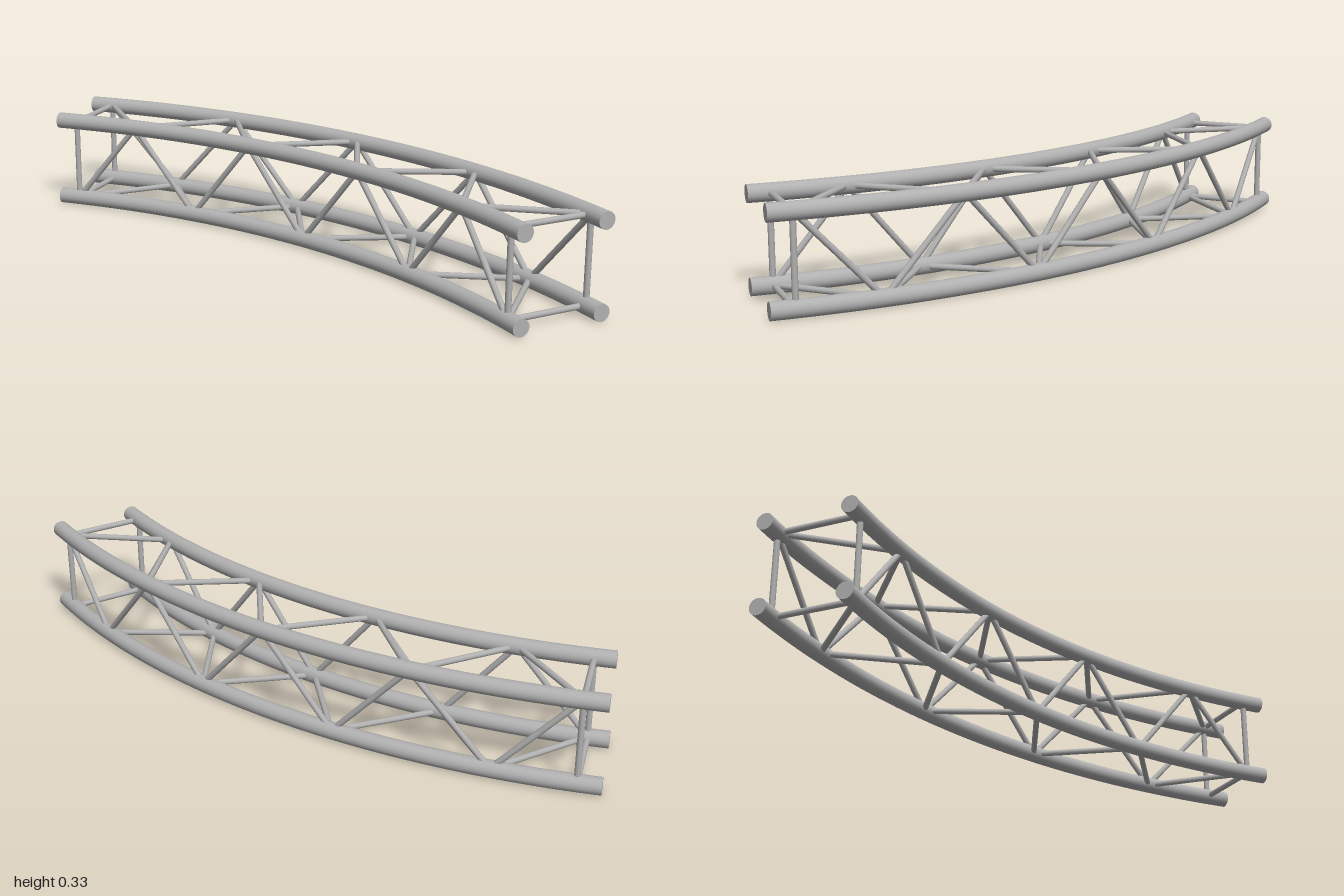
import * as THREE from 'three';

const ARC = Math.PI / 4;          // sweep of the curved truss
const CX = -2.3, CZ = 1;          // centre of curvature
const OUTER = 2.8, INNER = 2.53;  // chord radii
const LOW = 0.027, HIGH = 0.3;    // chord heights
const CHORD_R = 0.027, BRACE_R = 0.0095;
const BAYS = 8;

// point on an arc at angle a
const at = (radius, y, a) =>
  new THREE.Vector3(CX + radius * Math.cos(a), y, CZ - radius * Math.sin(a));

// angle of brace node k
const node = (k) => THREE.MathUtils.degToRad(1.5 + (42 / BAYS) * k);

export function createModel() {
  const group = new THREE.Group();
  const metal = new THREE.MeshStandardMaterial({ color: 0xb0b0b0 });
  metal.name = 'grey metal';

  const add = (name, geometry, position) => {
    const mesh = new THREE.Mesh(geometry, metal);
    mesh.name = name;
    mesh.position.copy(position);
    group.add(mesh);
    return mesh;
  };

  // straight round bar between two points
  const brace = (name, a, b) => {
    const geometry = new THREE.CylinderGeometry(BRACE_R, BRACE_R, a.distanceTo(b), 12);
    const mid = a.clone().add(b).multiplyScalar(0.5);
    const mesh = add(name, geometry, mid);
    mesh.quaternion.setFromUnitVectors(new THREE.Vector3(0, 1, 0), b.clone().sub(a).normalize());
  };

  // four curved chords with flat end caps
  for (const radius of [OUTER, INNER]) {
    for (const y of [LOW, HIGH]) {
      const tube = new THREE.TorusGeometry(radius, CHORD_R, 24, 48, ARC).rotateX(-Math.PI / 2);
      add('chord', tube, new THREE.Vector3(CX, y, CZ));
      add('chordFrontCap', new THREE.CircleGeometry(CHORD_R, 24), at(radius, y, 0));
      add('chordBackCap', new THREE.CircleGeometry(CHORD_R, 24), at(radius, y, ARC))
        .rotation.y = Math.PI + ARC;
    }
  }

  // square frame of bars at each end
  for (const k of [0, BAYS]) {
    const a = node(k);
    for (const y of [LOW, HIGH]) brace('endRung', at(INNER, y, a), at(OUTER, y, a));
    for (const r of [INNER, OUTER]) brace('endPost', at(r, LOW, a), at(r, HIGH, a));
  }

  // zigzag braces on all four faces, meeting at shared nodes
  for (let k = 0; k < BAYS; k++) {
    const a = node(k), b = node(k + 1);
    const even = k % 2 === 0;
    const [r0, r1] = even ? [OUTER, INNER] : [INNER, OUTER];
    const [y0, y1] = even ? [HIGH, LOW] : [LOW, HIGH];
    brace('topBrace', at(r0, HIGH, a), at(r1, HIGH, b));
    brace('bottomBrace', at(r1, LOW, a), at(r0, LOW, b));
    brace('outerBrace', at(OUTER, y0, a), at(OUTER, y1, b));
    brace('innerBrace', at(INNER, y1, a), at(INNER, y0, b));
  }

  return group;
}
